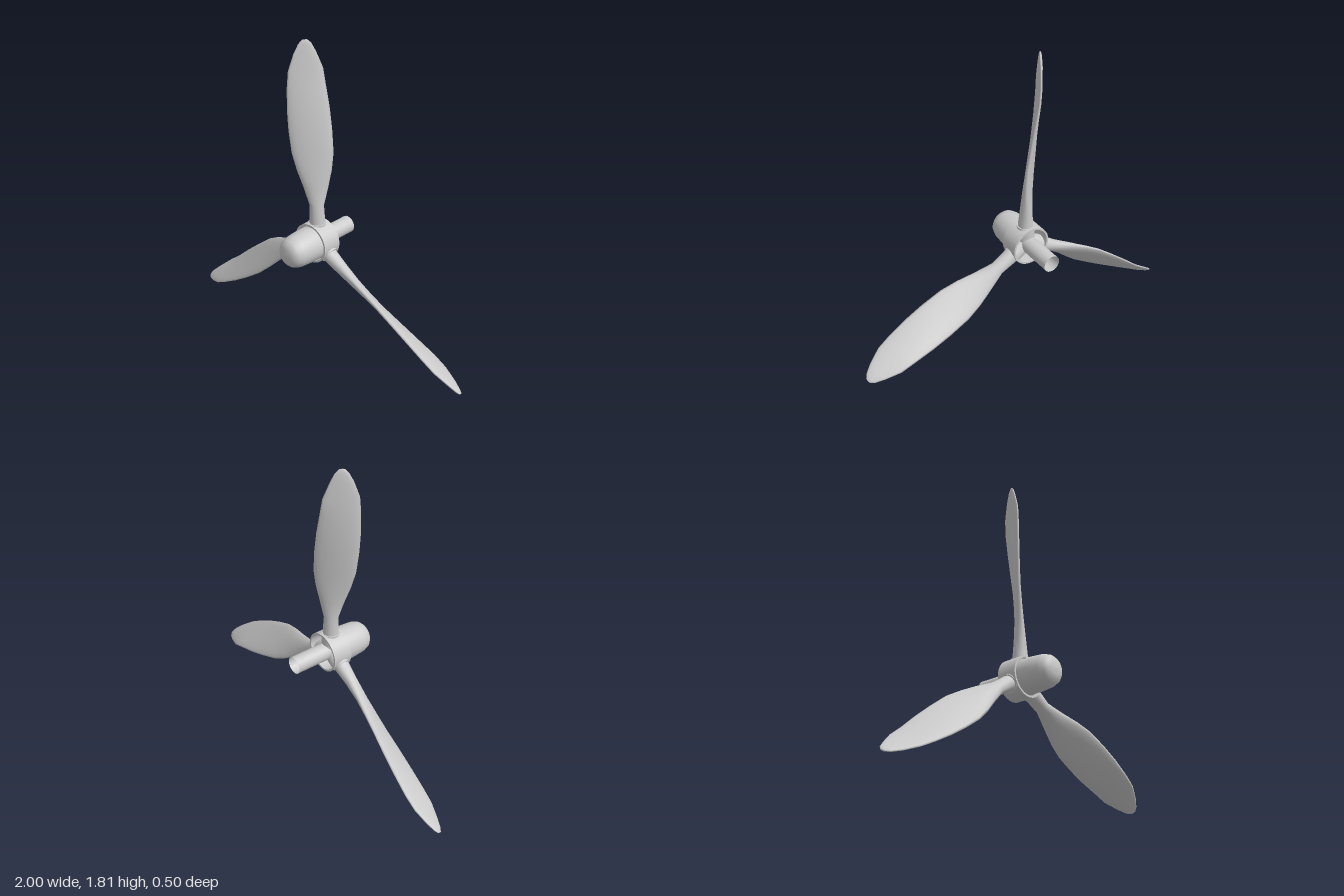
import * as THREE from 'three';

const mat = new THREE.MeshStandardMaterial({ color: 0xcccccc, side: THREE.DoubleSide });

function add(parent, geometry, name) {
  const mesh = new THREE.Mesh(geometry, mat);
  mesh.name = name;
  parent.add(mesh);
  return mesh;
}

// Blade lofted from elliptical sections, swept outwards along +y
function bladeGeometry() {
  // radius, sideways lean, half chord in x, half chord in z, half thickness
  const sections = [
    [0.06, 0.0, 0.03, 0.034, 0.042],
    [0.13, 0.0, 0.03, 0.032, 0.042],
    [0.22, -0.003, 0.03, 0.026, 0.034],
    [0.33, -0.01, 0.05, 0.046, 0.026],
    [0.43, -0.021, 0.068, 0.066, 0.021],
    [0.53, -0.033, 0.079, 0.08, 0.018],
    [0.66, -0.049, 0.075, 0.089, 0.017],
    [0.78, -0.063, 0.067, 0.092, 0.016],
    [0.9, -0.076, 0.054, 0.09, 0.014],
    [0.99, -0.081, 0.046, 0.083, 0.013],
    [1.08, -0.085, 0.03, 0.053, 0.012],
    [1.13, -0.085, 0.018, 0.03, 0.009],
    [1.15, -0.085, 0.008, 0.013, 0.005],
  ];
  const n = 16, pos = [], idx = [];
  for (const [r, cx, hx, hz, t] of sections) {
    const len = Math.hypot(hx, hz), ux = -hx / len, uz = hz / len;
    for (let i = 0; i < n; i++) {
      const a = (i / n) * Math.PI * 2;
      const c = len * Math.cos(a), s = t * Math.sin(a);
      pos.push(cx + ux * c + uz * s, r, uz * c - ux * s);
    }
  }
  for (let k = 0; k < sections.length - 1; k++) {
    for (let i = 0; i < n; i++) {
      const a = k * n + i, b = k * n + (i + 1) % n;
      idx.push(a, a + n, b, b, a + n, b + n);
    }
  }
  // Tip cap
  const last = (sections.length - 1) * n;
  pos.push(-0.085, 1.152, 0);
  for (let i = 0; i < n; i++) idx.push(last + i, last + n, last + (i + 1) % n);
  // Wind the faces outwards
  for (let i = 0; i < idx.length; i += 3) [idx[i + 1], idx[i + 2]] = [idx[i + 2], idx[i + 1]];
  const g = new THREE.BufferGeometry();
  g.setAttribute('position', new THREE.Float32BufferAttribute(pos, 3));
  g.setIndex(idx);
  // Check the winding on the first face against the section centre
  const p = (i) => new THREE.Vector3().fromArray(pos, i * 3);
  const [a, b, c] = [p(idx[0]), p(idx[1]), p(idx[2])];
  const normal = b.clone().sub(a).cross(c.clone().sub(a));
  if (normal.dot(new THREE.Vector3(a.x, 0, a.z)) < 0) {
    for (let i = 0; i < idx.length; i += 3) [idx[i + 1], idx[i + 2]] = [idx[i + 2], idx[i + 1]];
    g.setIndex(idx);
  }
  g.computeVertexNormals();
  return g;
}

export function createModel() {
  const model = new THREE.Group();
  model.name = 'propeller';
  const hub = new THREE.Group();
  hub.name = 'hubAssembly';
  hub.position.set(-0.05, 0.667, 0);
  model.add(hub);

  // Rounded nose cone with a closed back
  const profile = [[0, 0.05], [0.098, 0.05], [0.098, 0.05], [0.097, 0.11], [0.091, 0.18], [0.08, 0.213],
    [0.062, 0.232], [0.035, 0.242], [0, 0.245]].map(([r, z]) => new THREE.Vector2(r, z));
  add(hub, new THREE.LatheGeometry(profile.slice(2), 32).rotateX(Math.PI / 2), 'spinner');
  add(hub, new THREE.CircleGeometry(0.098, 32).rotateY(Math.PI).translate(0, 0, 0.05), 'spinnerBackplate');

  // Hollow drive shaft
  add(hub, new THREE.CylinderGeometry(0.049, 0.049, 0.3, 24, 1, true).rotateX(Math.PI / 2)
    .translate(0, 0, -0.1), 'driveShaft');

  // Thin hub band around the blade roots
  const band = [[0.104, -0.058], [0.115, -0.058], [0.115, 0.056], [0.104, 0.056], [0.104, -0.058]];
  for (let i = 0; i < 4; i++) {
    const pts = [band[i], band[i + 1]].map(([r, z]) => new THREE.Vector2(r, z));
    add(hub, new THREE.LatheGeometry(pts, 36).rotateX(Math.PI / 2), 'hubBand');
  }

  // Three pitched blades, each in a socket
  const blade = bladeGeometry();
  const socket = new THREE.CylinderGeometry(0.05, 0.05, 0.115, 20).translate(0, 0.0575, 0);
  for (let i = 0; i < 3; i++) {
    const arm = new THREE.Group();
    arm.name = 'bladeArm' + (i + 1);
    arm.rotation.z = (i * Math.PI * 2) / 3;
    add(arm, blade, 'blade');
    add(arm, socket, 'bladeSocket');
    hub.add(arm);
  }
  return model;
}
